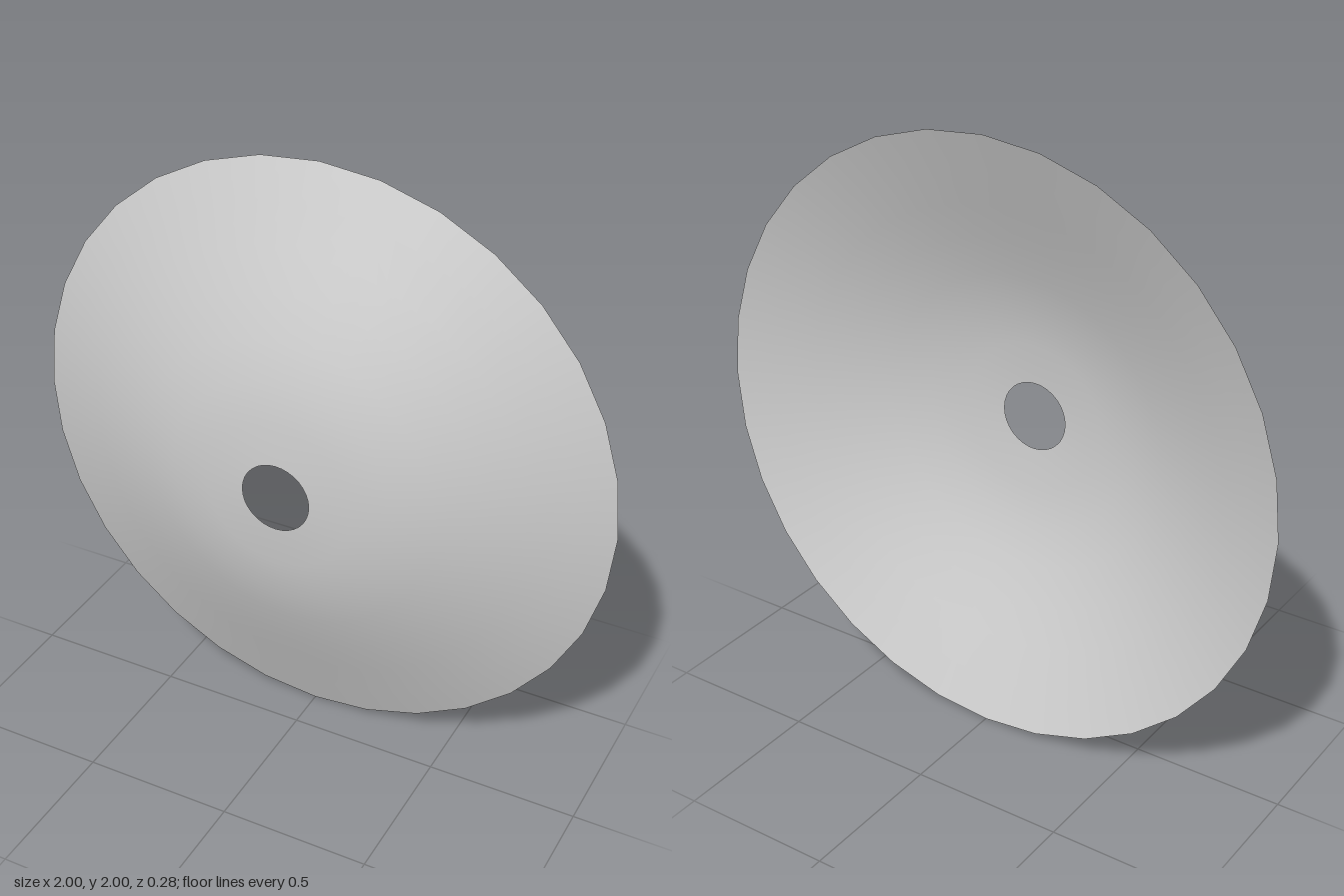
import * as THREE from 'three';

export function createModel() {
  const group = new THREE.Group();
  group.name = 'dish';

  // Profile from the straight flared rim to the central hole: [radius, depth]
  const profile = [
    [1, -0.14], [0.88, -0.089], [0.75, -0.034], [0.63, 0.018],
    [0.5, 0.067], [0.38, 0.106], [0.25, 0.13], [0.115, 0.14],
  ].map(([r, d]) => new THREE.Vector2(r, d));

  // Thin open shell, domed towards the front
  const shell = new THREE.Mesh(
    new THREE.LatheGeometry(profile, 32),
    new THREE.MeshStandardMaterial({ color: 0xcccccc, side: THREE.DoubleSide }),
  );
  shell.name = 'shell';
  shell.rotation.x = Math.PI / 2;
  shell.position.y = 1;
  group.add(shell);

  return group;
}
